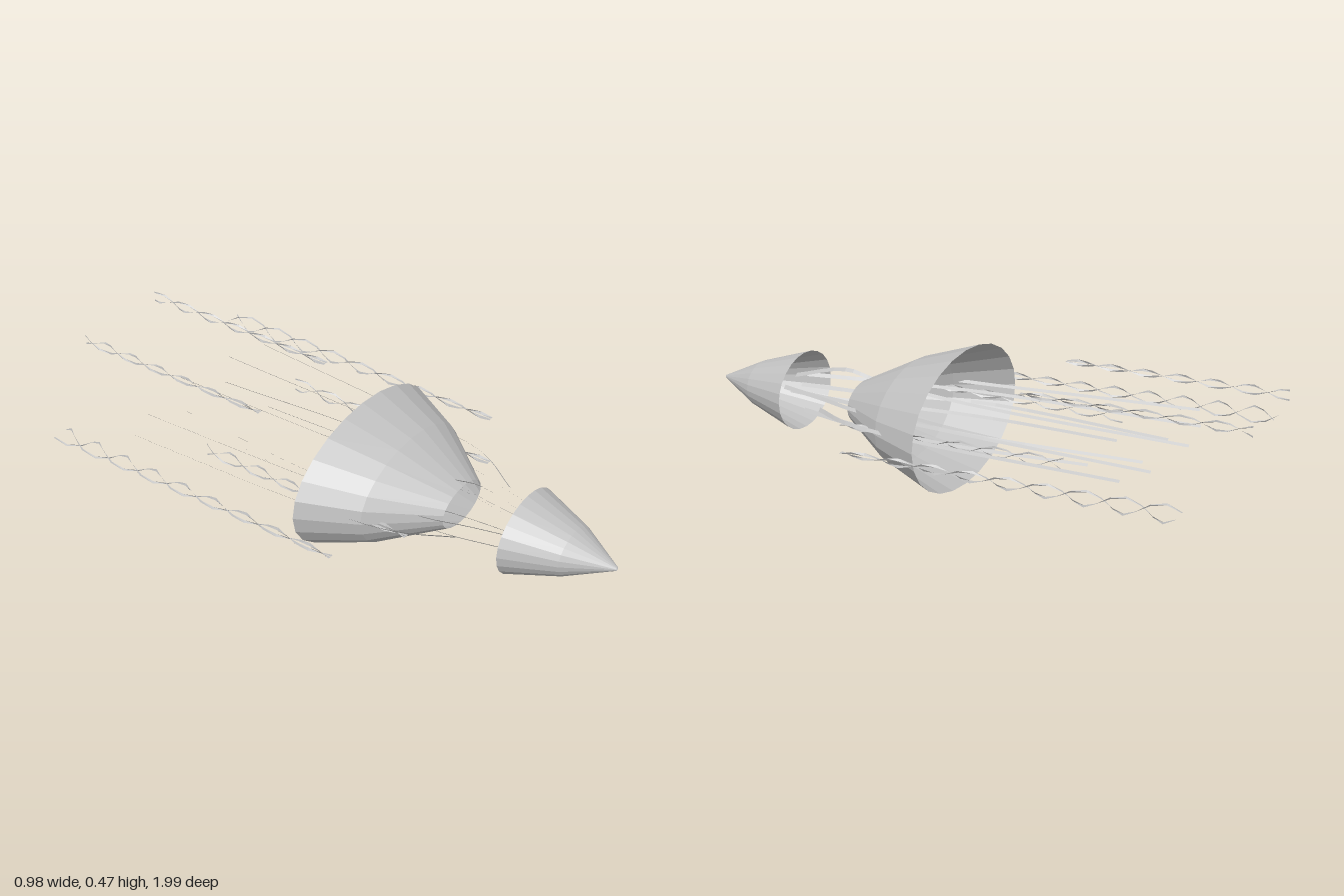
import * as THREE from 'three';

const CY = 0.236; // height of the long axis

// Thin ribbon along a curve, half width w0 to w1; across(t) gives its crosswise direction
function ribbon(curve, steps, w0, w1, across) {
  const verts = [], index = [];
  for (let i = 0; i <= steps; i++) {
    const t = i / steps;
    const p = curve.getPoint(t);
    const d = across(t).multiplyScalar(THREE.MathUtils.lerp(w0, w1, t));
    verts.push(p.x - d.x, p.y - d.y, p.z, p.x + d.x, p.y + d.y, p.z);
    if (i < steps) {
      const a = i * 2;
      index.push(a, a + 1, a + 2, a + 1, a + 3, a + 2);
    }
  }
  const geo = new THREE.BufferGeometry();
  geo.setAttribute('position', new THREE.Float32BufferAttribute(verts, 3));
  geo.setIndex(index);
  geo.computeVertexNormals();
  return geo;
}

// Helix running backwards along z, widening from a to b
class Helix extends THREE.Curve {
  constructor(x, y, z0, z1, a, b, turns, phase, hand) {
    super();
    Object.assign(this, { x, y, z0, z1, a, b, turns, phase, hand });
  }
  outward(t) {
    const ang = this.phase + t * this.turns * Math.PI * 2;
    return new THREE.Vector3(this.hand * Math.cos(ang), Math.sin(ang), 0);
  }
  getPoint(t, target = new THREE.Vector3()) {
    const axis = new THREE.Vector3(this.x, this.y, THREE.MathUtils.lerp(this.z0, this.z1, t));
    return target.copy(this.outward(t)).multiplyScalar(THREE.MathUtils.lerp(this.a, this.b, t)).add(axis);
  }
}

export function createModel() {
  const model = new THREE.Group();
  model.name = 'jellyCraft';
  const grey = new THREE.MeshStandardMaterial({ color: 0xc0c0c0, flatShading: true, side: THREE.DoubleSide });
  grey.name = 'lightGrey';

  const add = (name, geo) => {
    const mesh = new THREE.Mesh(geo, grey);
    mesh.name = name;
    model.add(mesh);
  };

  // Open elliptical shells; profile points are [half width, z]
  const shell = (name, profile, squash) => {
    const geo = new THREE.LatheGeometry(profile.map(([r, z]) => new THREE.Vector2(r, z)), 24);
    geo.rotateX(Math.PI / 2);
    geo.scale(1, squash, 1);
    geo.translate(0, CY, 0);
    add(name, geo);
  };
  shell('noseCone', [[0.17, 0.664], [0.098, 0.84], [0.007, 0.99]], 0.79);
  shell('bell', [[0.378, 0.04], [0.278, 0.23], [0.112, 0.43]], 0.62);

  // Trailing tentacles, listed for the left side; all ribbons lean the same way
  const tentacle = (name, pts, side) => {
    const curve = new THREE.CatmullRomCurve3(pts.map(([x, y, z]) => new THREE.Vector3(x * side, y, z)));
    add(name, ribbon(curve, 16, 0.008, 0.005, () => new THREE.Vector3(-1, 1, 0).normalize()));
  };
  tentacle('centreTentacle', [[0, 0.285, 0.7], [0, 0.335, 0.5], [0, 0.315, 0.38], [0, 0.285, 0.04], [0, 0.27, -0.74]], 1);
  const tentacles = {
    upperTentacle: [[0.075, 0.265, 0.7], [0.115, 0.262, 0.53], [0.155, 0.258, 0.38], [0.195, 0.26, 0.04], [0.222, 0.255, -0.7]],
    innerTentacle: [[0.035, 0.24, 0.7], [0.065, 0.24, 0.42], [0.145, 0.24, 0.04], [0.11, 0.235, -0.63]],
    lowerTentacle: [[0.065, 0.19, 0.63], [0.11, 0.187, 0.42], [0.142, 0.19, 0.04], [0.12, 0.197, -0.45]],
    outerTentacle: [[0.16, 0.24, 0.51], [0.26, 0.25, 0.34], [0.305, 0.25, 0.04], [0.35, 0.262, -0.65]],
  };
  // Double-stranded spiral arms: x, y, z start, z end, start radius, end radius, turns
  const spirals = {
    outerSpiral: [0.46, CY, 0.25, -0.88, 0.006, 0.029, 4.5],
    innerSpiral: [0.242, CY, 0.38, -0.42, 0.006, 0.021, 3.25],
    upperSpiral: [0.18, 0.422, -0.24, -1, 0.006, 0.016, 3.25],
  };
  for (const side of [1, -1]) {
    const label = side > 0 ? 'left' : 'right';
    for (const [name, pts] of Object.entries(tentacles)) tentacle(`${label} ${name}`, pts, side);
    for (const [name, [x, y, z0, z1, a, b, turns]] of Object.entries(spirals)) {
      for (const phase of [0, Math.PI]) {
        const helix = new Helix(x * side, y, z0, z1, a, b, turns, phase, side);
        add(`${label} ${name}`, ribbon(helix, Math.round(turns * 6), 0.005, 0.003, t => helix.outward(t)));
      }
    }
  }
  return model;
}
